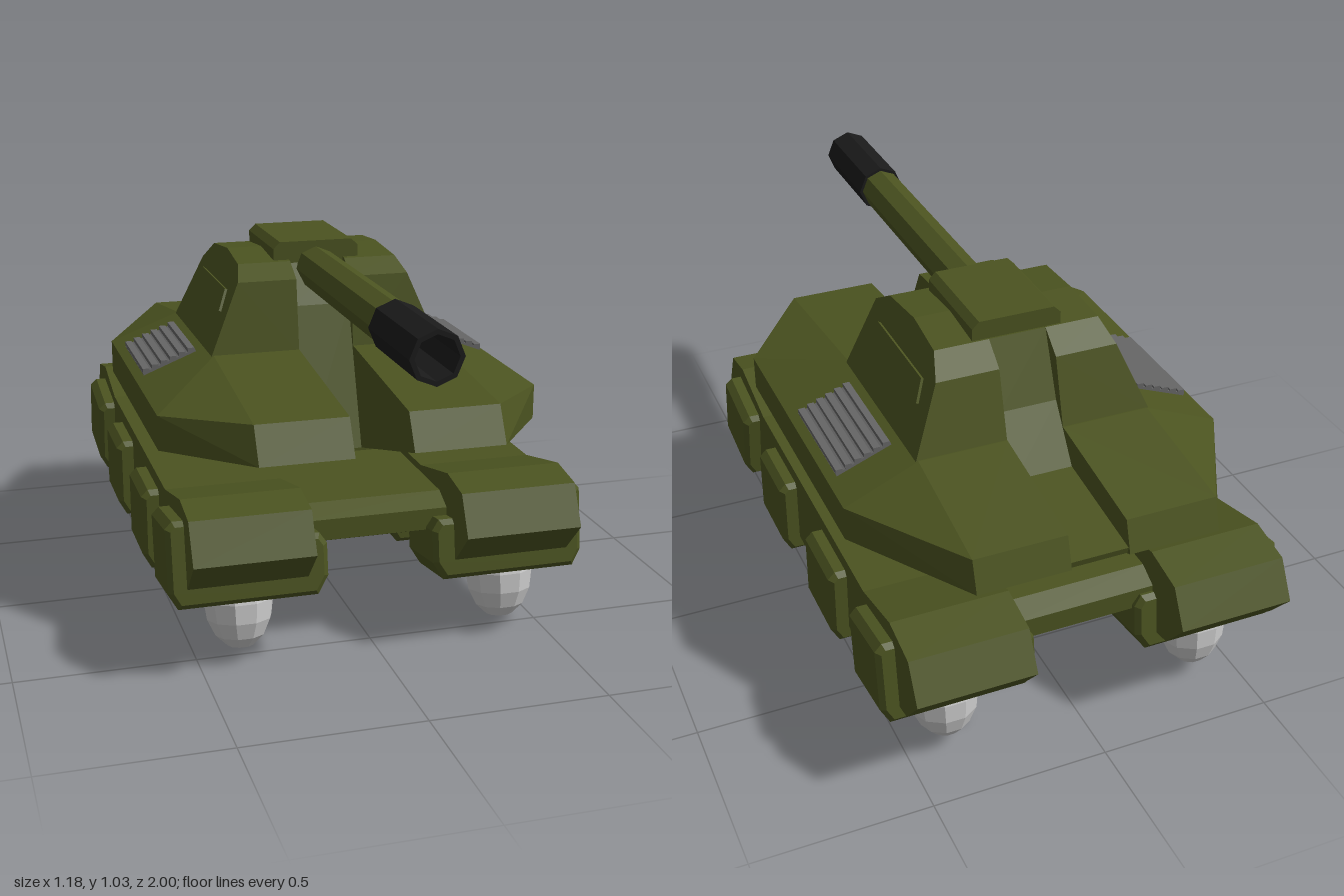
import * as THREE from 'three';
import { ConvexGeometry } from 'three/addons/geometries/ConvexGeometry.js';

const mat = (color) => new THREE.MeshStandardMaterial({ color, flatShading: true });
const green = mat(0x4b5320), black = mat(0x1a1a1a), ventGrey = mat(0x666666), grey = mat(0xcccccc);

const shapeOf = (pts) => new THREE.Shape(pts.map(([a, b]) => new THREE.Vector2(a, b)));

// Side profile of [z, y] points, extruded from x0 to x1
function sideProfile(pts, x0, x1) {
  return new THREE.ExtrudeGeometry(shapeOf(pts), { depth: x1 - x0, bevelEnabled: false })
    .rotateY(-Math.PI / 2).translate(x1, 0, 0);
}

// Front profile of [x, y] points, extruded from z0 to z1 with an optional bevel
function frontProfile(pts, z0, z1, bevel = 0) {
  return new THREE.ExtrudeGeometry(shapeOf(pts), {
    depth: z1 - z0 - 2 * bevel, bevelEnabled: bevel > 0, bevelSegments: 1,
    bevelThickness: bevel, bevelSize: bevel, bevelOffset: -bevel,
  }).translate(0, 0, z0 + bevel);
}

export function createModel() {
  const root = new THREE.Group();
  const add = (name, geo, material, parent = root) => {
    const m = new THREE.Mesh(geo, material);
    m.name = name;
    parent.add(m);
    return m;
  };

  // Lower chassis between the pods, and the neck carrying the upper hull
  add('chassis', sideProfile([[0.46, 0.30], [0.53, 0.33], [0.53, 0.39], [0.47, 0.42],
    [-0.77, 0.42], [-0.83, 0.39], [-0.83, 0.33], [-0.76, 0.30]], -0.22, 0.22), green);
  add('neck', new THREE.BoxGeometry(0.31, 0.06, 0.62).translate(0, 0.43, -0.23), green);

  // Recessed spine that fills the groove between the two hull halves
  add('spine', sideProfile([[0.14, 0.45], [0.0, 0.86], [-0.07, 0.985], [-0.38, 0.985],
    [-0.46, 0.80], [-0.57, 0.65], [-0.905, 0.61], [-0.9, 0.59], [-0.6, 0.45]], -0.085, 0.085), green);

  const podProfile = [[0.70, 0.36], [0.645, 0.47], [0.53, 0.49], [0.31, 0.44], [-0.61, 0.44], [-0.81, 0.49],
    [-0.94, 0.465], [-1.0, 0.36], [-0.92, 0.265], [-0.61, 0.21], [0.31, 0.21], [0.61, 0.265]];
  const turretProfile = [[0.05, 0.73], [0.02, 0.945], [-0.05, 0.985], [-0.22, 1.0],
    [-0.38, 0.985], [-0.45, 0.93], [-0.51, 0.73]];
  const housingProfile = [[0.15, -0.07], [0.18, -0.12], [0.565, -0.12], [0.59, -0.075], [0.59, 0.1],
    [0.57, 0.12], [0.48, 0.12], [0.45, 0.05], [0.17, 0.05], [0.15, 0.02]];
  // Upper hull rings: y, z at the corner, z at the side for front then back
  const hullPoints = [
    [0.083, 0.45, 0.14], [0.27, 0.45, 0.14], [0.36, 0.47, 0.04],
    [0.36, 0.47, -0.46], [0.27, 0.45, -0.6], [0.083, 0.45, -0.6],
    [0.083, 0.59, 0.62], [0.345, 0.59, 0.62], [0.555, 0.555, 0.31],
    [0.555, 0.555, -0.52], [0.345, 0.595, -0.915], [0.083, 0.595, -0.915],
    [0.083, 0.69, 0.565], [0.345, 0.69, 0.565], [0.555, 0.655, 0.31],
    [0.555, 0.655, -0.52], [0.345, 0.685, -0.885], [0.083, 0.685, -0.885],
    [0.083, 0.74, 0.05], [0.34, 0.74, 0.05], [0.34, 0.74, -0.51], [0.083, 0.74, -0.51],
  ];
  // Wheel stations: z, y, tilt
  const stations = [[0.485, 0.31, -0.15], [0.093, 0.28, 0], [-0.357, 0.28, 0], [-0.748, 0.31, 0.15]];

  for (const s of [1, -1]) {
    const side = s > 0 ? 'left' : 'right';

    add(side + 'Pod', sideProfile(podProfile, s > 0 ? 0.21 : -0.54, s > 0 ? 0.54 : -0.21), green);
    add(side + 'UpperHull',
      new ConvexGeometry(hullPoints.map(([x, y, z]) => new THREE.Vector3(s * x, y, z))), green);

    // Turret half, its outer wall leaning inward with height
    const lean = (y) => 0.345 - (y - 0.74) * 0.423;
    add(side + 'Turret', new ConvexGeometry(turretProfile.flatMap(([z, y]) => [
      new THREE.Vector3(s * 0.083, y, z), new THREE.Vector3(s * lean(y), y, z)])), green);

    // Side hatch lying on the turret wall
    const hatch = add(side + 'TurretHatch', sideProfile([[0.19, -0.032], [0.165, 0.032],
      [-0.165, 0.032], [-0.19, -0.032]], -0.008, 0.008), green);
    hatch.position.set(s * lean(0.88), 0.88, -0.22);
    hatch.rotation.z = s * Math.atan(0.423);

    // Slatted vent on the sloping deck
    const vent = new THREE.Group();
    vent.name = side + 'Vent';
    vent.position.set(s * 0.45, 0.698, -0.225);
    vent.rotation.z = -s * 0.376;
    add('ventBase', new THREE.BoxGeometry(0.17, 0.012, 0.33), ventGrey, vent);
    for (let i = 0; i < 6; i++) {
      const slat = add('ventSlat', new THREE.BoxGeometry(0.02, 0.014, 0.33), ventGrey, vent);
      slat.position.set(-0.073 + i * 0.0292, 0.008, 0);
      slat.rotation.z = s * 0.35;
    }
    root.add(vent);

    // Wheel housings with ball wheels
    stations.forEach(([z, y, tilt], i) => {
      const g = new THREE.Group();
      g.name = `${side}WheelUnit${i + 1}`;
      g.position.set(0, y, z);
      g.rotation.x = tilt;
      add('wheelHousing', frontProfile(housingProfile.map(([a, b]) => [s * a, b]), -0.113, 0.113, 0.014), green, g);
      add('ballWheel', new THREE.SphereGeometry(1, 10, 8).scale(0.098, 0.145, 0.098)
        .translate(s * 0.38, -0.13, 0), grey, g);
      root.add(g);
    });
  }

  // Roof cap
  add('roofCap', frontProfile([[-0.13, 0.96], [0.13, 0.96], [0.13, 1.02], [0.11, 1.04],
    [-0.11, 1.04], [-0.13, 1.02]], -0.375, -0.065), green);

  // Gun barrel with a hollow muzzle sleeve
  add('barrel', new THREE.CylinderGeometry(0.062, 0.062, 0.92, 8).rotateX(Math.PI / 2)
    .translate(0, 0.96, 0.28), green);
  const sleeve = [[0.058, 0.68], [0.071, 0.68], [0.071, 1.0], [0.058, 1.0], [0.058, 0.7]];
  const muzzle = add('muzzleSleeve', new THREE.LatheGeometry(sleeve.map(([r, z]) => new THREE.Vector2(r, z)), 8)
    .rotateX(Math.PI / 2).translate(0, 0.96, 0), black.clone());
  muzzle.material.side = THREE.DoubleSide;

  return root;
}
